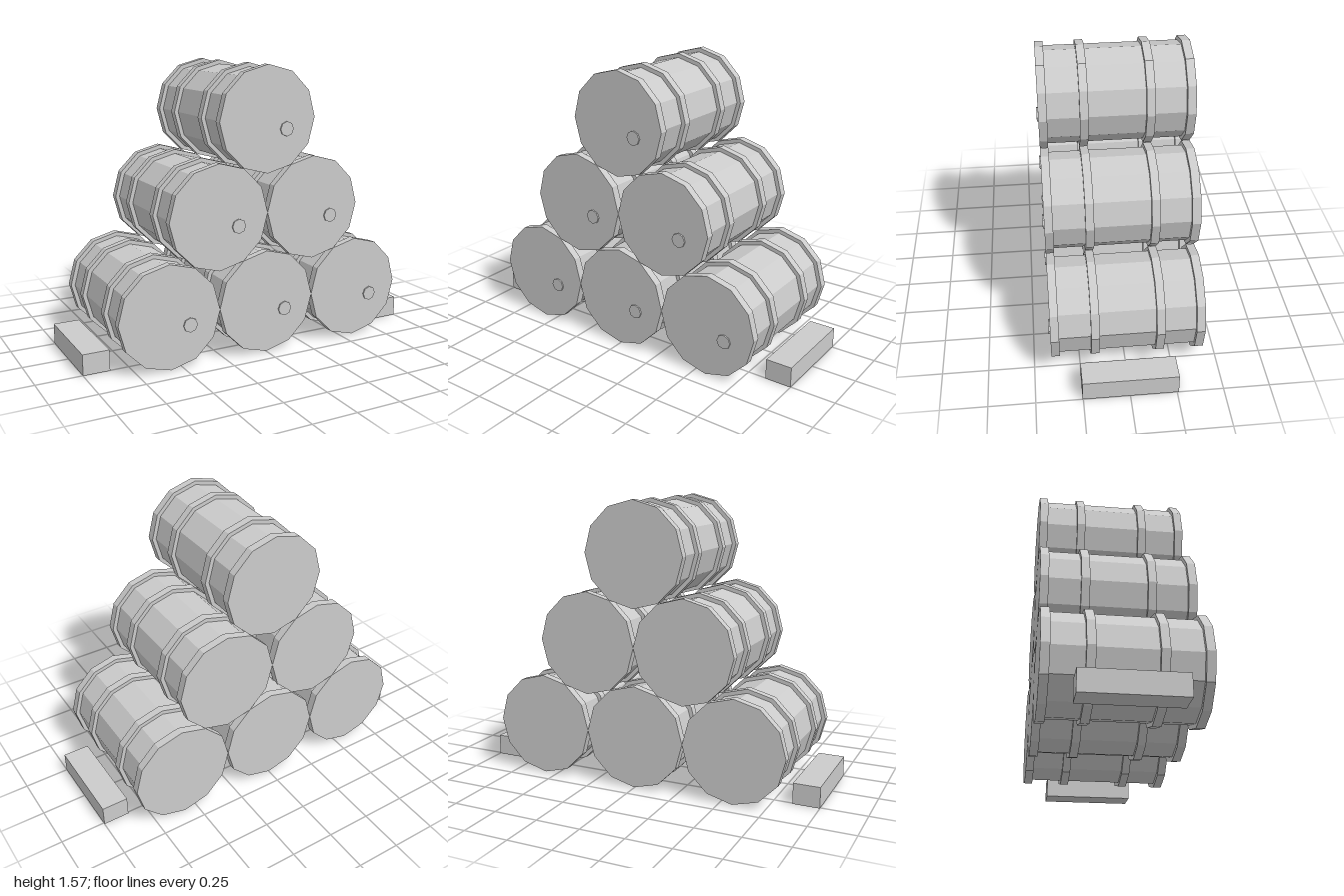
import * as THREE from 'three';

const RIM_R = 0.286, BODY_R = 0.263;
const BACK = -0.413, FRONT = 0.405;

export function createModel() {
  const model = new THREE.Group();
  model.name = 'drumStack';
  const material = new THREE.MeshStandardMaterial({ color: 0xcccccc, flatShading: true });

  // Drum shell: a closed profile stepping out at both rims and two hoops
  const profile = [new THREE.Vector2(0, BACK)];
  const bands = [[BACK, -0.367], [-0.2, -0.155], [0.147, 0.192], [0.36, FRONT]];
  bands.forEach(([start, end], i) => {
    if (i > 0) profile.push(new THREE.Vector2(BODY_R, start));
    profile.push(new THREE.Vector2(RIM_R, start), new THREE.Vector2(RIM_R, end));
    if (i < bands.length - 1) profile.push(new THREE.Vector2(BODY_R, end));
  });
  profile.push(new THREE.Vector2(0, FRONT));
  const shellGeometry = new THREE.LatheGeometry(profile, 12).rotateX(Math.PI / 2);

  // Filler cap set off-centre on the front lid
  const capGeometry = new THREE.CylinderGeometry(0.04, 0.04, 0.018, 8)
    .rotateX(Math.PI / 2).translate(0.111, -0.055, 0.404);

  function addDrum(x, y) {
    const drum = new THREE.Group();
    drum.name = 'drum';
    const shell = new THREE.Mesh(shellGeometry, material);
    shell.name = 'drumShell';
    const cap = new THREE.Mesh(capGeometry, material);
    cap.name = 'fillerCap';
    drum.add(shell, cap);
    drum.position.set(x, y, 0);
    model.add(drum);
  }

  // Pyramid: rows of three, two and one
  for (let row = 0; row < 3; row++) {
    const count = 3 - row;
    for (let i = 0; i < count; i++) {
      addDrum((i - (count - 1) / 2) * RIM_R * 2, 0.289 + row * 0.497);
    }
  }

  // Wedging blocks on the ground at either side
  const chockGeometry = new THREE.BoxGeometry(0.147, 0.115, 0.513);
  for (const side of [-1, 1]) {
    const chock = new THREE.Mesh(chockGeometry, material);
    chock.name = side > 0 ? 'leftChock' : 'rightChock';
    chock.position.set(side * 0.9265, 0.0575, -0.003);
    model.add(chock);
  }
  return model;
}
